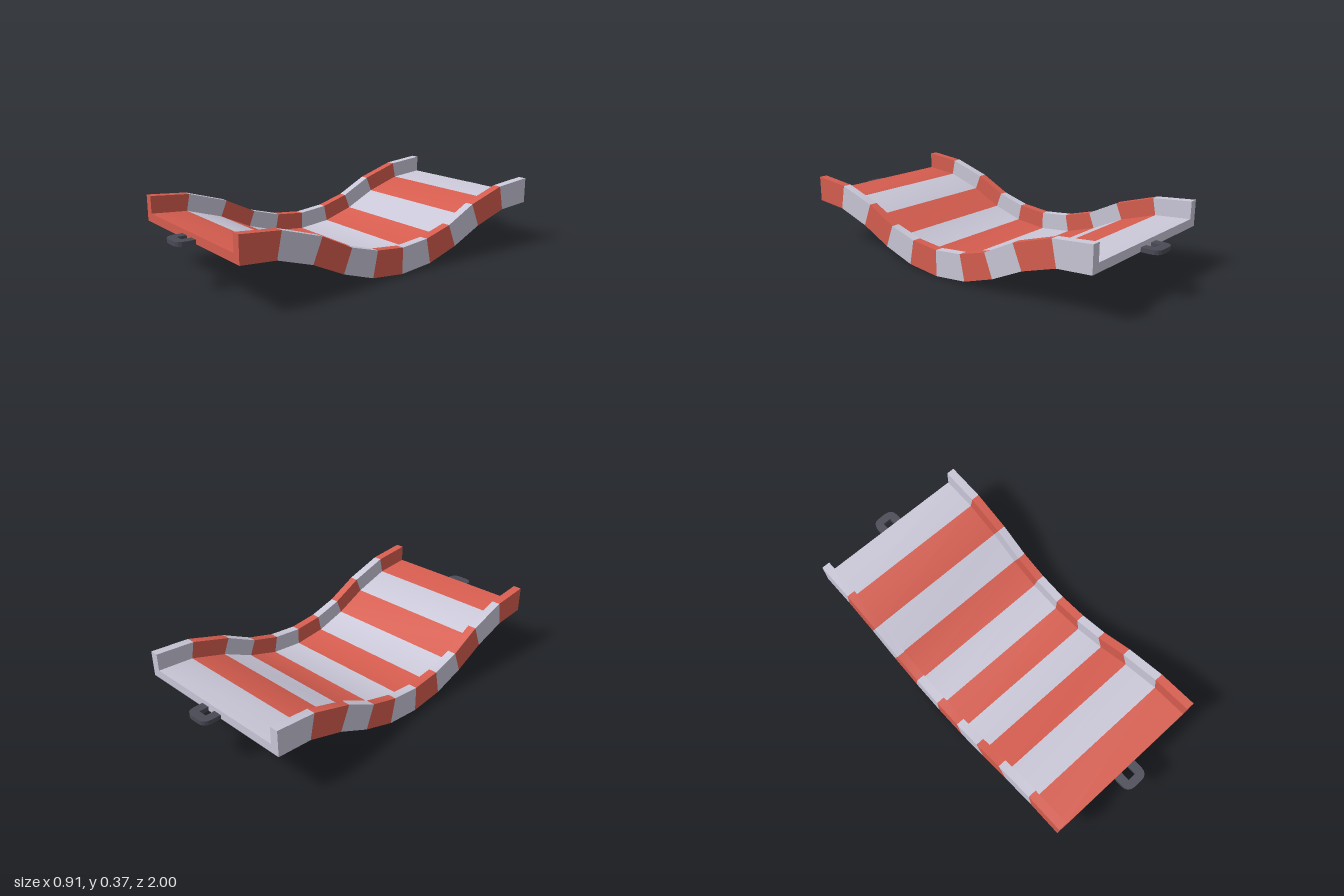
import * as THREE from 'three';

const red = new THREE.MeshStandardMaterial({ color: 0xd65d4f });
red.name = 'red';
const white = new THREE.MeshStandardMaterial({ color: 0xcac7d8 });
white.name = 'pale grey';
const dark = new THREE.MeshStandardMaterial({ color: 0x4a4a56 });
dark.name = 'dark metal';

const END = 0.907, W = 0.455, WI = 0.41, FLOOR = 1 / 3;

// Stations from the front end to the middle: bottom z, bottom y, top z, top y
const half = [
  [END, 0.23, END, 0.365],
  [0.724, 0.216, 0.697, 0.346],
  [0.536, 0.157, 0.484, 0.28],
  [0.364, 0.076, 0.316, 0.196],
  [0.188, 0.019, 0.16, 0.152],
  [0, 0, 0, 0.136],
];
const stations = [
  ...half,
  ...half.slice(0, -1).reverse().map(([bz, by, tz, ty]) => [-bz, by, -tz, ty]),
];

// U-shaped cross-section: x and height fraction, counter-clockwise from the front
const profile = [
  [-W, 0], [W, 0], [W, 1], [WI, 1], [WI, FLOOR], [-WI, FLOOR], [-WI, 1], [-W, 1],
];

// Striped track: one smooth strip per profile edge, coloured segment by segment
function trackGeometry() {
  const pos = [], index = [];
  const n = stations.length;
  profile.forEach((a, k) => {
    const b = profile[(k + 1) % profile.length];
    for (const [bz, by, tz, ty] of stations) {
      for (const [x, t] of [a, b]) pos.push(x, by + (ty - by) * t, bz + (tz - bz) * t);
    }
  });
  const geo = new THREE.BufferGeometry();
  for (let j = 0; j < n - 1; j++) {
    geo.addGroup(index.length, profile.length * 6, j % 2);
    for (let k = 0; k < profile.length; k++) {
      const o = (k * n + j) * 2;
      index.push(o, o + 2, o + 1, o + 1, o + 2, o + 3);
    }
  }
  geo.setAttribute('position', new THREE.Float32BufferAttribute(pos, 3));
  geo.setIndex(index);
  geo.computeVertexNormals();
  return geo;
}

// Flat U-shaped face closing an end of the track
function capGeometry() {
  const pts = profile.map(([x, t]) => new THREE.Vector2(x, 0.23 + 0.135 * t));
  return new THREE.ShapeGeometry(new THREE.Shape(pts)).translate(0, 0, END);
}

// U-shaped coupling loop lying flat, rounded at its outer corners
function loopGeometry() {
  const s = new THREE.Shape();
  s.moveTo(0.068, 0.9);
  s.lineTo(0.068, 0.955);
  s.quadraticCurveTo(0.066, 0.998, 0.025, 1);
  s.lineTo(-0.025, 1);
  s.quadraticCurveTo(-0.066, 0.998, -0.068, 0.955);
  s.lineTo(-0.068, 0.9);
  s.lineTo(-0.023, 0.9);
  s.lineTo(-0.023, 0.956);
  s.lineTo(0.023, 0.956);
  s.lineTo(0.023, 0.9);
  s.closePath();
  const geo = new THREE.ExtrudeGeometry(s, { depth: 0.022, bevelEnabled: false, curveSegments: 4 });
  return geo.rotateX(Math.PI / 2).translate(0, 0.252, 0);
}

export function createModel() {
  const model = new THREE.Group();
  model.name = 'dippedTrack';

  const track = new THREE.Mesh(trackGeometry(), [red, white]);
  track.name = 'stripedTrack';
  model.add(track);

  // Each end: closing face and coupling loop
  const cap = capGeometry(), loop = loopGeometry();
  for (const [name, material, turn] of [['front', red, 0], ['back', white, Math.PI]]) {
    const end = new THREE.Group();
    end.name = name + 'End';
    const face = new THREE.Mesh(cap, material);
    face.name = name + 'EndFace';
    const hook = new THREE.Mesh(loop, dark);
    hook.name = name + 'CouplingLoop';
    end.add(face, hook);
    end.rotation.y = turn;
    model.add(end);
  }
  return model;
}
